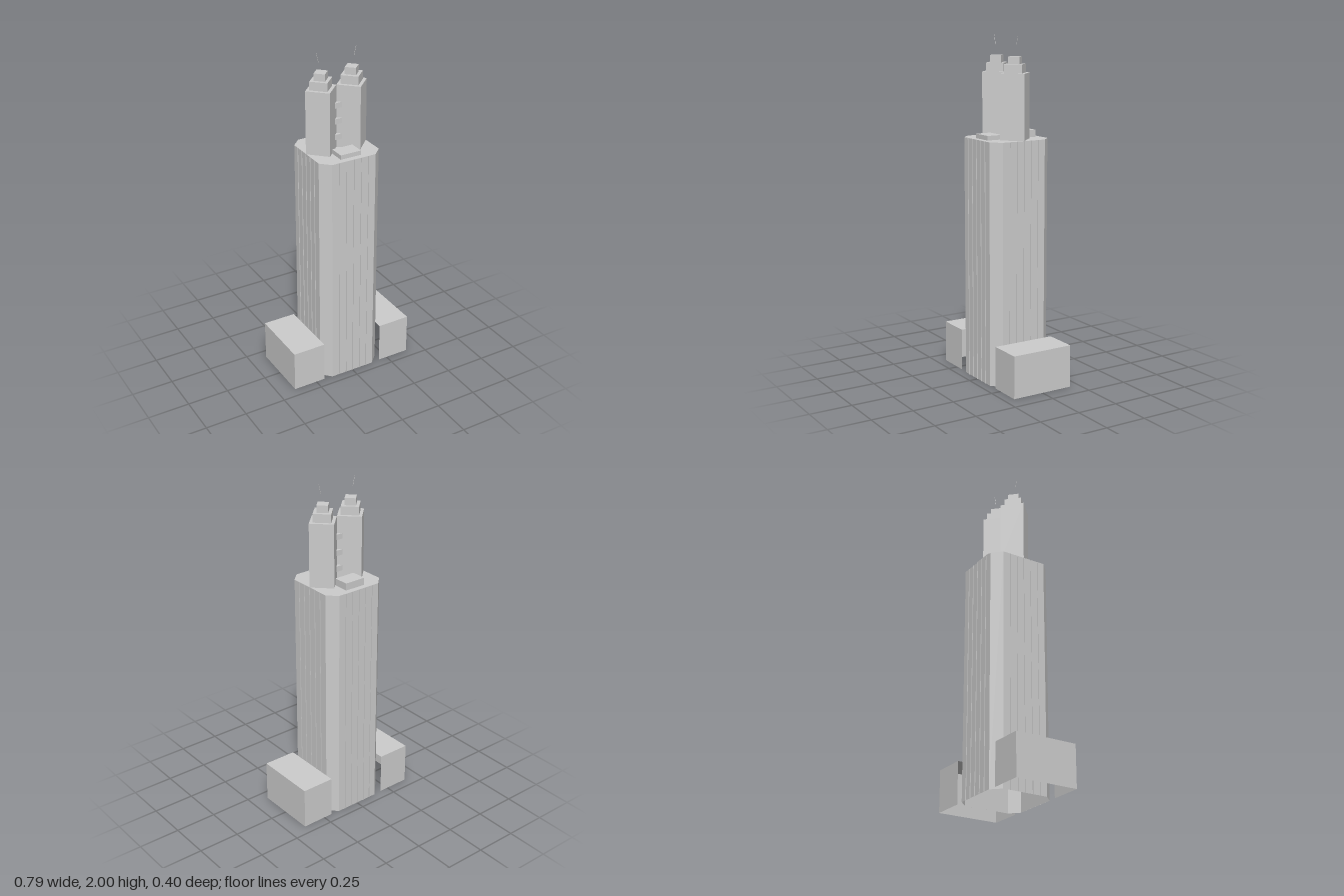
import * as THREE from 'three';

const stone = new THREE.MeshStandardMaterial({ color: 0xcccccc, side: THREE.DoubleSide });
stone.name = 'pale grey stone';

function add(parent, name, geometry, x = 0, y = 0, z = 0) {
  const mesh = new THREE.Mesh(geometry, stone);
  mesh.name = name;
  mesh.position.set(x, y, z);
  parent.add(mesh);
  return mesh;
}

// Walls and flat roof over a convex plan of [x, z] points, with no floor.
// If not closed, the wall from the last point to the first is left out.
function shell(plan, y0, y1, closed = true) {
  const pos = [];
  const n = plan.length;
  const tri = (...corners) => corners.forEach(([p, y]) => pos.push(p[0], y, p[1]));
  for (let i = 0; i < (closed ? n : n - 1); i++) {
    const a = plan[i], b = plan[(i + 1) % n];
    tri([a, y0], [b, y0], [b, y1]);
    tri([a, y0], [b, y1], [a, y1]);
  }
  for (let i = 1; i < n - 1; i++) tri([plan[0], y1], [plan[i], y1], [plan[i + 1], y1]);
  const g = new THREE.BufferGeometry();
  g.setAttribute('position', new THREE.Float32BufferAttribute(pos, 3));
  g.computeVertexNormals();
  return g;
}

const diamond = (r) => [[-r, 0], [0, r], [r, 0], [0, -r]];

export function createModel() {
  const model = new THREE.Group();
  model.name = 'skyscraper';

  // Main shaft: square with cut corners
  const H = 1.42, W = 0.194, C = 0.14;
  add(model, 'shaft', shell([
    [-W, -C], [-W, C], [-C, W], [C, W], [W, C], [W, -C], [C, -W], [-C, -W],
  ], 0, H));

  // Thin vertical fins on the four broad faces, deeper at the foot
  for (let side = 0; side < 4; side++) {
    const fins = new THREE.Group();
    fins.name = 'facadeFins';
    fins.rotation.y = side * Math.PI / 2;
    for (let i = -2; i <= 2; i++) {
      const x = i * 0.047;
      for (const [name, depth, height] of [['fin', 0.004, H], ['finFoot', 0.006, 0.08]]) {
        const fin = add(fins, name, new THREE.PlaneGeometry(depth, height), x, height / 2, W + depth / 2);
        fin.rotation.y = Math.PI / 2;
      }
    }
    model.add(fins);
  }

  // Side wings, open towards the shaft
  const wing = shell([[W, 0.19], [0.395, 0.19], [0.395, -0.19], [W, -0.19]], 0, 0.25, false);
  add(model, 'leftWing', wing);
  add(model, 'rightWing', wing).rotation.y = Math.PI;

  // Twin diamond towers with stepped crowns and leaning masts
  for (const s of [-1, 1]) {
    const tower = new THREE.Group();
    tower.name = s > 0 ? 'leftTower' : 'rightTower';
    tower.position.x = s * 0.098;
    add(tower, 'towerBody', shell(diamond(0.098), H, 1.795));
    add(tower, 'lowerCrown', shell(diamond(0.072), 1.795, 1.845));
    add(tower, 'upperCrown', shell(diamond(0.045), 1.845, 1.887));
    const mast = add(tower, 'mast', new THREE.CylinderGeometry(0.0012, 0.0012, 0.057, 6), s * 0.0205, 1.972, 0);
    mast.rotation.z = -s * 0.23;
    model.add(tower);
  }

  // Bridges between the towers
  for (const y of [1.49, 1.585, 1.68]) {
    add(model, 'bridge', new THREE.BoxGeometry(0.05, 0.032, 0.045), 0, y, 0);
  }

  // Roof blocks on the shaft
  add(model, 'frontRoofBlock', new THREE.BoxGeometry(0.13, 0.026, 0.094), 0, H + 0.013, 0.113);
  add(model, 'backRoofBlock', new THREE.BoxGeometry(0.13, 0.042, 0.093), 0, H + 0.021, -0.114);

  return model;
}
